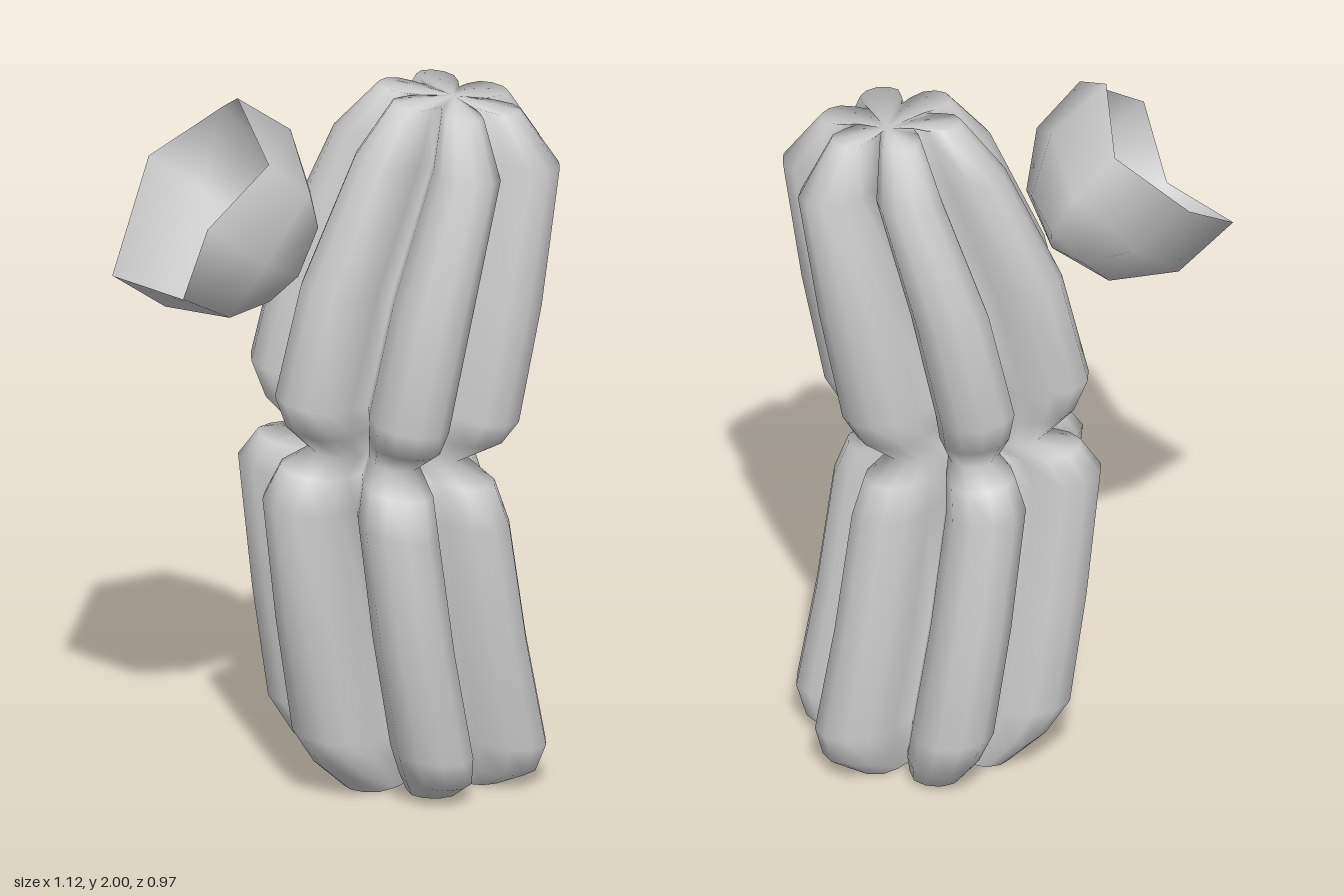
import * as THREE from 'three';

const LOBES = 6;
// Half outline of one rib: [distance along rib, half width], as a share of the ring radius
const RIB = [[0.39, 0.225], [0.6, 0.27], [0.82, 0.265], [0.95, 0.16], [1, 0]];

// Rings up the stem: height, centre x, centre z, radius, sideways slope
const RINGS = [
  [0, 0.15, -0.18, 0.25, 0],
  [0.07, 0.145, -0.17, 0.345, 0.09],
  [0.165, 0.13, -0.155, 0.395, 0.11],
  [0.48, 0.09, -0.12, 0.39, 0.14],
  [0.83, 0.06, -0.08, 0.385, 0.18],
  [0.925, 0.065, -0.09, 0.335, 0.15],
  [0.97, 0.07, -0.1, 0.24, 0.12],
  [1.045, 0.085, -0.085, 0.335, 0.13],
  [1.13, 0.09, -0.083, 0.38, 0.16],
  [1.45, 0.15, -0.115, 0.375, 0.13],
  [1.81, 0.24, -0.167, 0.32, 0.1],
  [1.955, 0.25, -0.165, 0.2, 0.13],
];

// Star-shaped cross-section made of equal ribs
function ribOutline() {
  const half = RIB.map(([u, v]) => [u, -v]);
  const rib = [...half, ...RIB.slice(1, -1).reverse()];
  const points = [];
  for (let k = 0; k < LOBES; k++) {
    const a = (k * Math.PI * 2) / LOBES, c = Math.cos(a), s = Math.sin(a);
    for (const [u, v] of rib) points.push([u * c - v * s, u * s + v * c]);
  }
  return points;
}

function surface(name, positions, index, material) {
  const geometry = new THREE.BufferGeometry();
  geometry.setAttribute('position', new THREE.Float32BufferAttribute(positions, 3));
  geometry.setIndex(index);
  geometry.computeVertexNormals();
  const mesh = new THREE.Mesh(geometry, material);
  mesh.name = name;
  return mesh;
}

function ringPoints([y, cx, cz, r, slope], outline) {
  return outline.flatMap(([x, z]) => [cx + r * x, y - slope * r * x, cz + 0.92 * r * z]);
}

// Ribbed stem with two swollen sections and a pinched waist
function makeStem(material) {
  const outline = ribOutline(), n = outline.length;
  const positions = RINGS.flatMap((ring) => ringPoints(ring, outline));
  const index = [];
  for (let j = 0; j < RINGS.length - 1; j++) {
    for (let i = 0; i < n; i++) {
      const a = j * n + i, b = j * n + ((i + 1) % n);
      index.push(a, a + n, b + n, a, b + n, b);
    }
  }
  // Crown where the ribs meet
  const apex = positions.length / 3, top = (RINGS.length - 1) * n;
  positions.push(0.25, 1.945, -0.2);
  for (let i = 0; i < n; i++) index.push(top + i, apex, top + ((i + 1) % n));
  return surface('stem', positions, index, material);
}

// Flat underside
function makeBase(material) {
  const outline = ribOutline(), n = outline.length;
  const positions = [...ringPoints(RINGS[0], outline), RINGS[0][1], 0, RINGS[0][2]];
  const index = [];
  for (let i = 0; i < n; i++) index.push(n, i, (i + 1) % n);
  return surface('base', positions, index, material);
}

// Open cup-shaped flower: rim points swept over a sphere to its pole
function makeFlower(material) {
  const centre = new THREE.Vector3(-0.32, 1.69, 0.2);
  const pole = new THREE.Vector3(0.58, -0.57, -0.57).normalize();
  const rim = [
    [-0.26, 2, 0.14], [-0.36, 1.9, -0.06], [-0.56, 1.75, -0.02], [-0.56, 1.52, 0.32],
    [-0.32, 1.52, 0.45], [-0.24, 1.74, 0.485], [-0.12, 1.88, 0.31],
  ].map((p) => new THREE.Vector3(...p).sub(centre));
  const n = rim.length, rows = 3;
  const positions = [], index = [];
  for (let j = 0; j < rows; j++) {
    for (const p of rim) {
      const radius = THREE.MathUtils.lerp(p.length(), 0.3, j / rows);
      const dir = p.clone().normalize();
      const axis = dir.clone().cross(pole).normalize();
      dir.applyAxisAngle(axis, (dir.angleTo(pole) * j) / rows);
      positions.push(...dir.multiplyScalar(radius).add(centre).toArray());
    }
  }
  positions.push(...pole.clone().multiplyScalar(0.3).add(centre).toArray());
  for (let j = 0; j < rows; j++) {
    for (let i = 0; i < n; i++) {
      const a = j * n + i, b = j * n + ((i + 1) % n);
      if (j === rows - 1) index.push(a, b, rows * n);
      else index.push(a, b, b + n, a, b + n, a + n);
    }
  }
  return surface('flower', positions, index, material);
}

export function createModel() {
  const group = new THREE.Group();
  group.name = 'cactus';
  const grey = new THREE.MeshStandardMaterial({ color: 0xcccccc });
  const thin = new THREE.MeshStandardMaterial({ color: 0xcccccc, side: THREE.DoubleSide });
  group.add(makeStem(grey), makeBase(grey), makeFlower(thin));
  return group;
}
